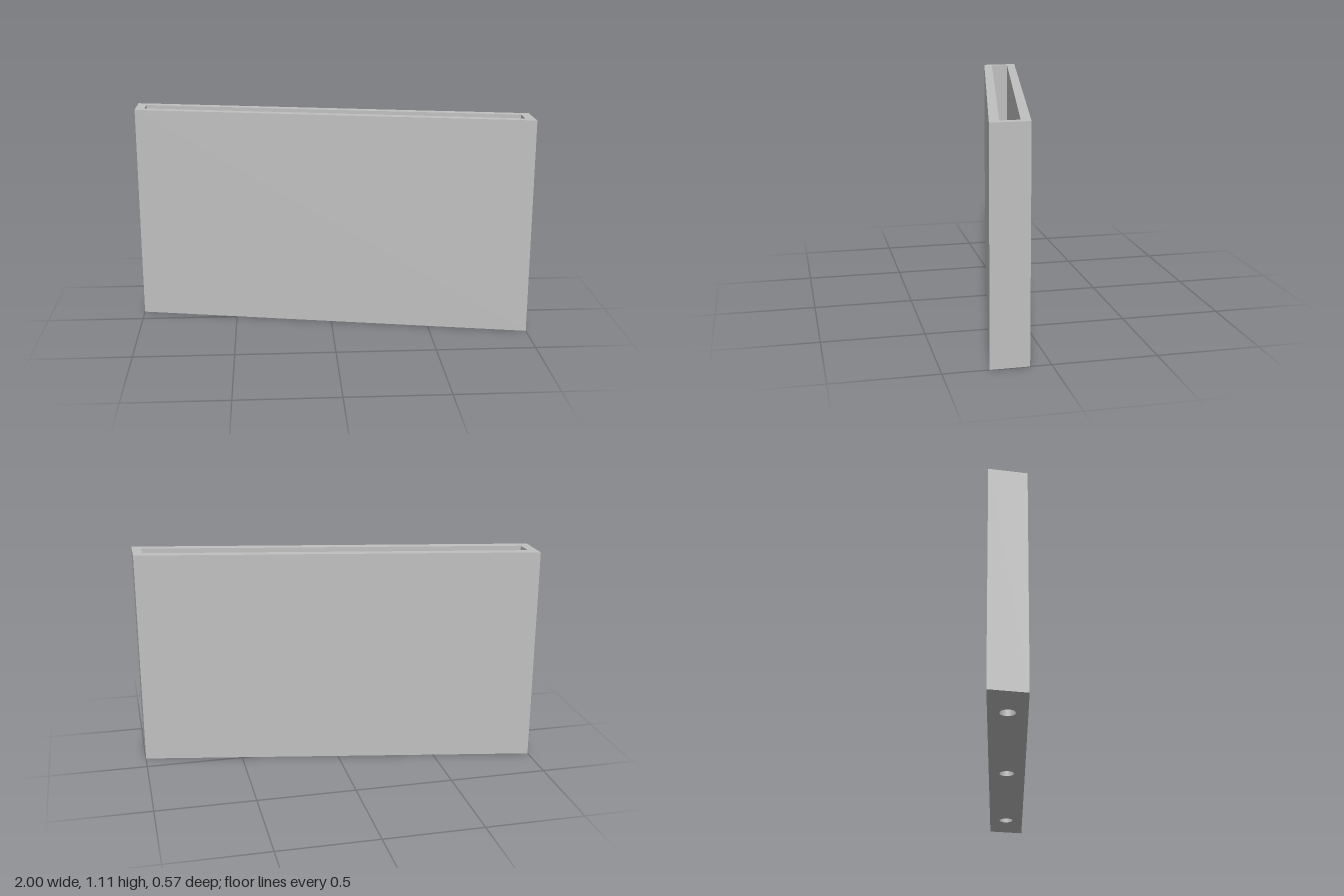
import * as THREE from 'three';

const HEIGHT = 1.11;
const FLOOR = 0.046;
const SLOPE = 0.1925; // z gained per unit of x along the slanted plan

// Plan outline: a parallelogram with its ends parallel to z (shape y = -z)
function outline(Type, halfX, halfZ) {
  const z = halfX * SLOPE;
  return new Type([
    new THREE.Vector2(-halfX, z - halfZ),
    new THREE.Vector2(halfX, -z - halfZ),
    new THREE.Vector2(halfX, -z + halfZ),
    new THREE.Vector2(-halfX, z + halfZ),
  ]);
}

// Extrude a plan shape upward from y = 0
function raise(shape, depth) {
  return new THREE.ExtrudeGeometry(shape, { depth, bevelEnabled: false, curveSegments: 32 })
    .rotateX(-Math.PI / 2);
}

export function createModel() {
  const group = new THREE.Group();
  const grey = new THREE.MeshStandardMaterial({ color: 0xc0c0c0 });
  grey.name = 'grey';

  // Hollow surrounding walls
  const wallShape = outline(THREE.Shape, 1, 0.0925);
  wallShape.holes.push(outline(THREE.Path, 0.953, 0.0465));
  const walls = new THREE.Mesh(raise(wallShape, HEIGHT), grey);
  walls.name = 'walls';
  group.add(walls);

  // Thin floor with three drain holes
  const floorShape = outline(THREE.Shape, 0.953, 0.0465);
  for (const x of [-0.77, 0, 0.77]) {
    const hole = new THREE.Path();
    hole.absarc(x, -x * SLOPE, 0.037, 0, Math.PI * 2, true);
    floorShape.holes.push(hole);
  }
  const floor = new THREE.Mesh(raise(floorShape, FLOOR), grey);
  floor.name = 'floor';
  group.add(floor);

  return group;
}
